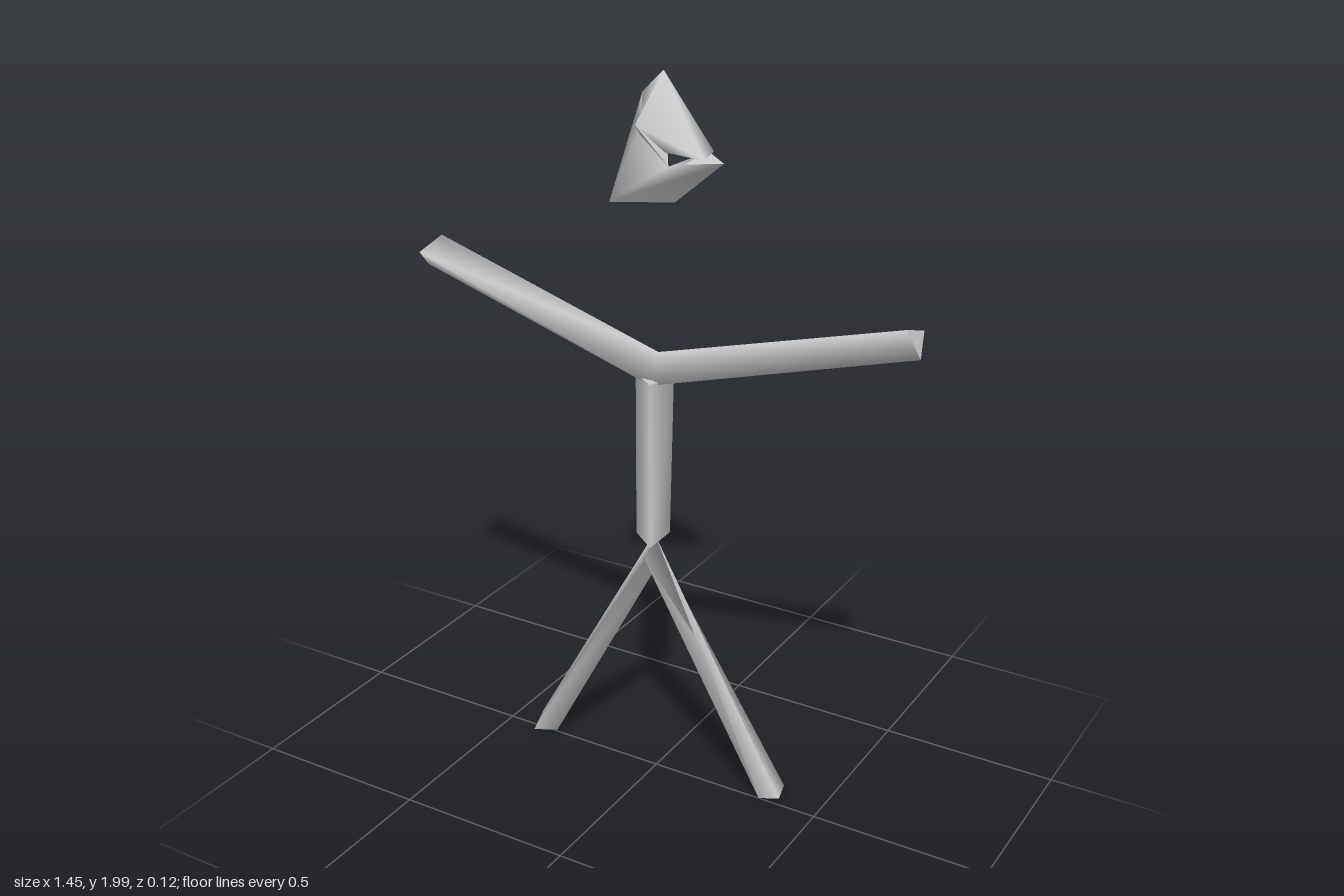
import * as THREE from 'three';

const material = new THREE.MeshStandardMaterial({ color: 0xcccccc, side: THREE.DoubleSide });
material.name = 'light grey';

// Three-sided smooth tube through a list of triangular rings, closed by flat ends.
function triTube(name, rings) {
  const points = rings.flat();
  const index = [];
  for (let r = 0; r < rings.length - 1; r++) {
    for (let i = 0; i < 3; i++) {
      const j = (i + 1) % 3;
      const a = r * 3 + i, b = r * 3 + j, c = a + 3, d = b + 3;
      index.push(a, c, b, b, c, d);
    }
  }
  // End caps use their own corners so the rims stay sharp
  const n = points.length;
  points.push(...rings[0], ...rings[rings.length - 1]);
  index.push(n, n + 1, n + 2, n + 3, n + 5, n + 4);

  const geometry = new THREE.BufferGeometry();
  geometry.setAttribute('position', new THREE.Float32BufferAttribute(points.flat(), 3));
  geometry.setIndex(index);
  geometry.computeVertexNormals();
  const mesh = new THREE.Mesh(geometry, material);
  mesh.name = name;
  return mesh;
}

export function createModel() {
  const model = new THREE.Group();
  model.name = 'stickFigure';

  // Arms: one bent tube, twisting slightly from the left hand to the right
  model.add(triTube('arms', [
    [[0.70, 1.467, 0.03], [0.709, 1.44, -0.058], [0.727, 1.387, 0]],
    [[0, 1.265, -0.01], [0, 1.20, -0.058], [0, 1.185, 0.03]],
    [[-0.70, 1.467, -0.03], [-0.727, 1.387, 0], [-0.709, 1.44, 0.06]],
  ]));

  // Legs: one tube folded at the hip
  model.add(triTube('legs', [
    [[0.405, 0.048, 0.025], [0.33, 0.008, 0], [0.38, 0.035, -0.056]],
    [[0, 0.75, 0.01], [0, 0.69, 0.06], [0, 0.66, -0.033]],
    [[-0.405, 0.048, -0.028], [-0.38, 0.035, 0.06], [-0.34, 0.012, 0]],
  ]));

  // Torso
  model.add(triTube('torso', [
    [[-0.06, 1.20, 0.005], [0.015, 1.20, 0.06], [0.035, 1.19, -0.03]],
    [[-0.06, 0.735, 0.005], [0.015, 0.73, 0.058], [0.022, 0.74, -0.035]],
  ]));

  // Head: coarse loop of three bends, its two ends meeting at the right-hand point
  model.add(triTube('head', [
    [[0.155, 1.80, 0.035], [0.13, 1.80, -0.058], [0.05, 1.81, 0.045]],
    [[0.02, 2.0, 0], [-0.075, 1.925, -0.058], [-0.05, 1.86, 0.02]],
    [[-0.125, 1.655, 0.023], [0.02, 1.655, -0.058], [0.04, 1.765, 0.01]],
    [[0.19, 1.79, 0], [0.12, 1.80, -0.05], [0.11, 1.79, 0.056]],
  ]));

  return model;
}
